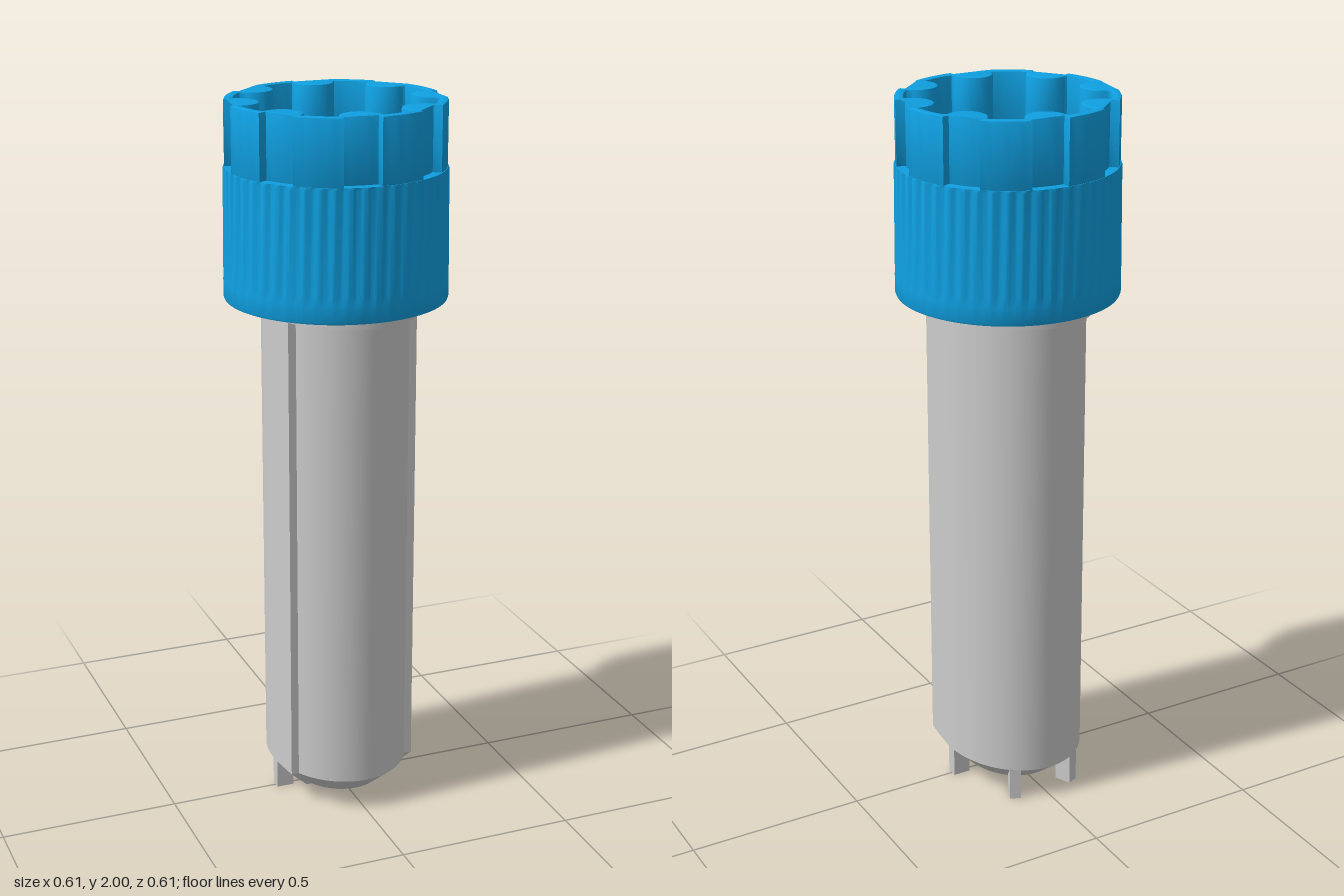
import * as THREE from 'three';
import { toCreasedNormals } from 'three/addons/utils/BufferGeometryUtils.js';

const grey = new THREE.MeshStandardMaterial({ color: 0xcccccc });
const blue = new THREE.MeshStandardMaterial({ color: 0x0f9fe0 });

// Skin a list of rings (equal point counts, from bottom centre up the outside).
function loft(rings, crease = 0.5) {
  const pos = [];
  const tri = (...pts) => pts.forEach((p) => pos.push(...p));
  for (let i = 0; i < rings.length - 1; i++) {
    const a = rings[i], b = rings[i + 1], n = a.length;
    for (let j = 0; j < n; j++) {
      const k = (j + 1) % n;
      tri(a[j], a[k], b[k]);
      tri(a[j], b[k], b[j]);
    }
  }
  const g = new THREE.BufferGeometry();
  g.setAttribute('position', new THREE.Float32BufferAttribute(pos, 3));
  return toCreasedNormals(g, crease);
}

// Plan outline of the body: oval back, slightly inset front panel with side steps.
function bodyOutline() {
  const half = [];
  const tMax = Math.acos(0.125 / 0.232);
  for (let i = 0; i <= 12; i++) {
    const t = (tMax * i) / 12;
    half.push([0.195 * Math.sin(t), 0.232 * Math.cos(t)]);
  }
  half.push([0.186, 0.125], [0.194, 0.065]);
  for (let i = 0; i <= 20; i++) {
    const t = Math.PI / 2 + (Math.PI / 2) * (i / 20);
    half.push([0.199 * Math.sin(t), 0.246 * Math.cos(t)]);
  }
  const mirror = half.slice(1, -1).reverse().map(([x, z]) => [-x, z]);
  return [...half, ...mirror];
}

function bodyGeometry() {
  const outline = bodyOutline();
  const ring = (y, s) => outline.map(([x, z]) => [x * s, y, z * s]);
  const hole = (y, r) => outline.map(([x, z]) => {
    const l = Math.hypot(x, z);
    return [(x / l) * r, y, (z / l) * r];
  });
  return loft([
    hole(0.06, 0), hole(0.06, 0.066), hole(0.03, 0.066), // recess underneath
    ring(0.03, 0.67), ring(0.095, 1), ring(1.45, 1), ring(1.45, 0),
  ]);
}

// Cap skirt with shallow fluting, hollow below, central dimple on top.
function skirtGeometry() {
  const n = 288;
  const ring = (y, r, flute = 0) => Array.from({ length: n }, (_, j) => {
    const t = (j / n) * Math.PI * 2;
    const q = r - flute * (0.5 - 0.5 * Math.cos(48 * t));
    return [q * Math.sin(t), y, q * Math.cos(t)];
  });
  return loft([
    ring(1.72, 0), ring(1.72, 0.275), ring(1.48, 0.285), ring(1.465, 0.293),
    ring(1.465, 0.303), ring(1.47, 0.305), ring(1.515, 0.305),
    ring(1.54, 0.305, 0.005), ring(1.815, 0.302, 0.005), ring(1.822, 0.299),
    ring(1.822, 0.12), ring(1.8, 0.11), ring(1.795, 0.099), ring(1.765, 0.098), ring(1.765, 0),
  ], 0.6);
}

// Crown wall: eight outside notches, each backed by a half-round boss inside.
function crownGeometry() {
  const n = 8, phase = Math.PI / 2 - 0.14, bevel = 0.006;
  const at = (r, a) => new THREE.Vector2(r * Math.cos(a), r * Math.sin(a));
  const outer = [], inner = [];
  for (let i = 0; i < n; i++) {
    const a = phase + (i * Math.PI * 2) / n, next = a + (Math.PI * 2) / n;
    const w = 0.19, c = at(0.262, a);
    for (let k = 0; k <= 4; k++) outer.push(at(0.266, a - w + (2 * w * k) / 4));
    for (let k = 0; k <= 8; k++) outer.push(at(0.291, a + w + ((next - a - 2 * w) * k) / 8));
    // boss half circle
    for (let k = 0; k <= 12; k++) {
      const b = a - Math.PI / 2 - (Math.PI * k) / 12;
      inner.push(new THREE.Vector2(c.x + 0.05 * Math.cos(b), c.y + 0.05 * Math.sin(b)));
    }
    // wall between bosses
    const v = 0.21;
    for (let k = 0; k <= 6; k++) inner.push(at(0.277, a + v + ((next - a - 2 * v) * k) / 6));
  }
  const shape = new THREE.Shape(outer);
  shape.holes.push(new THREE.Path(inner));
  const g = new THREE.ExtrudeGeometry(shape, {
    depth: 0.18 - bevel, bevelEnabled: true, bevelSize: bevel, bevelThickness: bevel, bevelSegments: 2,
  });
  g.rotateX(-Math.PI / 2).translate(0, 1.82, 0);
  return toCreasedNormals(g, 0.6);
}

export function createModel() {
  const model = new THREE.Group();
  model.name = 'cappedTube';
  const add = (name, geometry, material) => {
    const m = new THREE.Mesh(geometry, material);
    m.name = name;
    model.add(m);
    return m;
  };

  add('body', bodyGeometry(), grey);

  // Oval collar and hidden neck
  const collar = add('collar', new THREE.CylinderGeometry(1, 1, 0.018, 64), grey);
  collar.scale.set(0.22, 1, 0.28);
  collar.position.y = 1.451;
  add('neck', new THREE.CylinderGeometry(0.25, 0.25, 0.25, 64).translate(0, 1.595, 0), grey);

  // Feet at the sides and back
  for (const side of [-1, 1]) {
    for (const [name, x, z] of [['sideFoot', 0.165, 0], ['backFoot', 0.086, -0.19]]) {
      const foot = add(name, new THREE.BoxGeometry(0.032, 0.1, 0.05), grey);
      foot.position.set(side * x, 0.05, z);
      foot.rotation.y = Math.atan2(side * x, z);
    }
  }

  add('capSkirt', skirtGeometry(), blue);
  add('capCrown', crownGeometry(), blue);
  return model;
}
